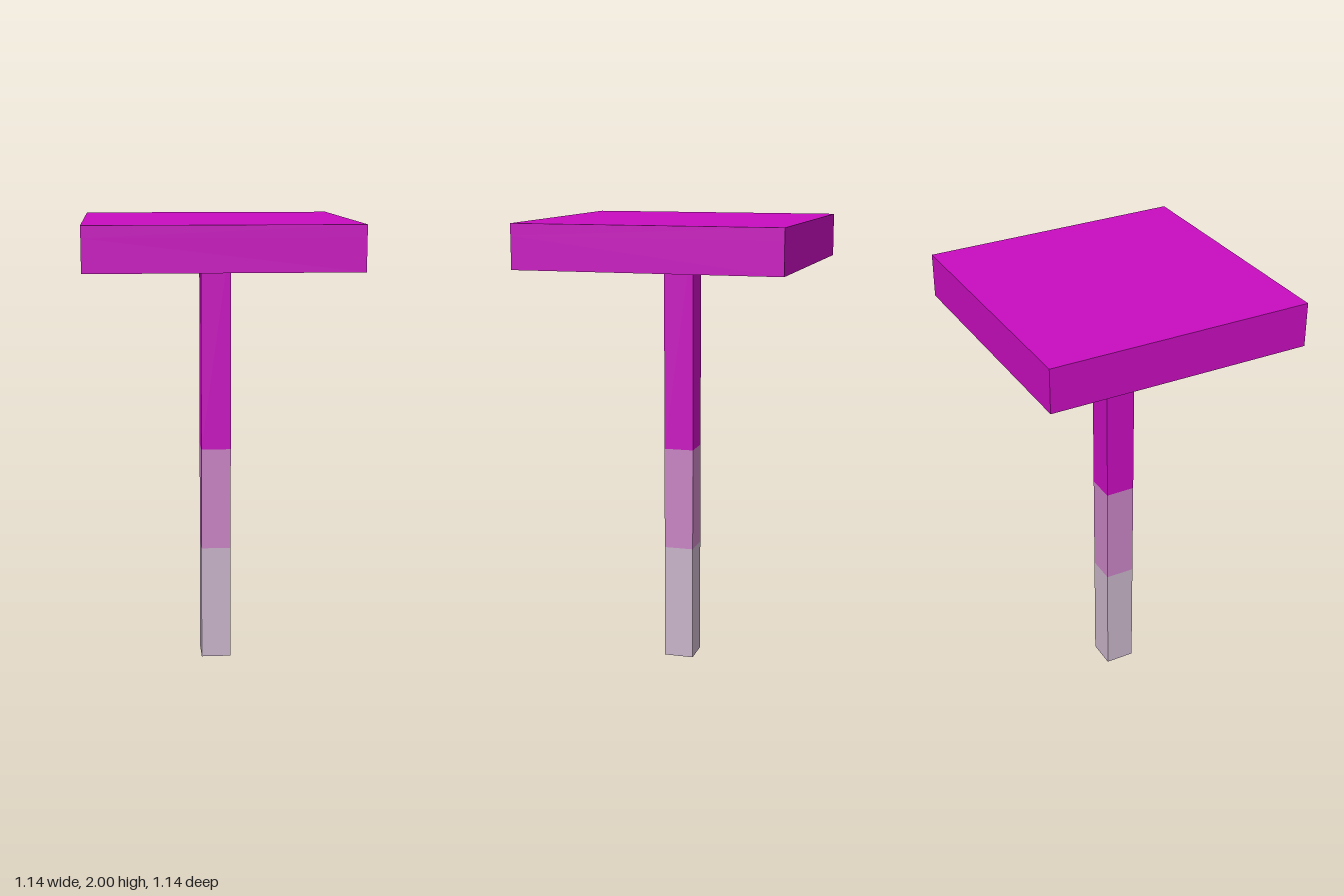
import * as THREE from 'three';

const HALF = 0.57;      // canopy half width
const INNER = 0.52;     // recess half width
const POST = 0.132;     // post width
const BASE = 1.81, CEILING = 1.95, TOP = 2;

function material(name, color) {
  const m = new THREE.MeshStandardMaterial({ color });
  m.name = name;
  return m;
}

function square(Type, h) {
  return new Type([
    new THREE.Vector2(-h, -h), new THREE.Vector2(h, -h),
    new THREE.Vector2(h, h), new THREE.Vector2(-h, h),
  ]);
}

// Upright box of square section between two heights
function block(name, width, y0, y1, mat) {
  const mesh = new THREE.Mesh(new THREE.BoxGeometry(width, y1 - y0, width), mat);
  mesh.position.y = (y0 + y1) / 2;
  mesh.name = name;
  return mesh;
}

export function createModel() {
  const magenta = material('magenta', 0xc80dbf);
  const mauve = material('mauve', 0xc884c4);
  const paleLilac = material('pale lilac', 0xc8b4c8);
  const model = new THREE.Group();
  model.name = 'squarePost';

  // Post in three colour bands, running up to the canopy ceiling
  model.add(
    block('postBottom', POST, 0, 0.52, paleLilac),
    block('postMiddle', POST, 0.52, 0.98, mauve),
    block('postTop', POST, 0.98, CEILING, magenta),
  );

  // Hollow canopy: a thin top plate over a square rim
  const canopy = new THREE.Group();
  canopy.name = 'canopy';
  const outline = square(THREE.Shape, HALF);
  outline.holes.push(square(THREE.Path, INNER));
  const rimGeometry = new THREE.ExtrudeGeometry(outline, { depth: CEILING - BASE, bevelEnabled: false });
  rimGeometry.rotateX(-Math.PI / 2);
  const rim = new THREE.Mesh(rimGeometry, magenta);
  rim.position.y = BASE;
  rim.name = 'canopyRim';
  canopy.add(rim, block('canopyTop', HALF * 2, CEILING, TOP, magenta));
  model.add(canopy);

  return model;
}
